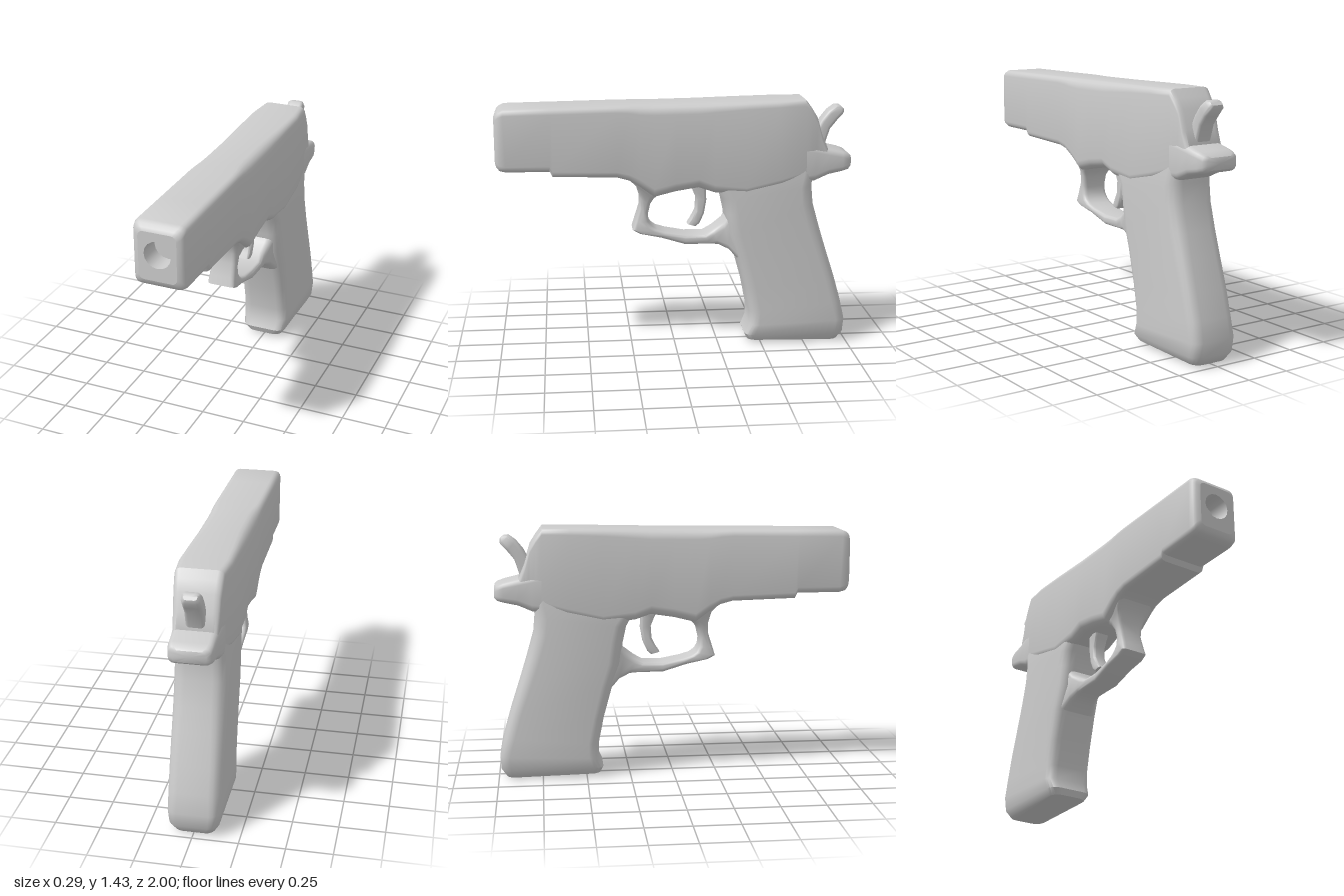
import * as THREE from 'three';
import { toCreasedNormals } from 'three/addons/utils/BufferGeometryUtils.js';

const material = new THREE.MeshStandardMaterial({ color: 0xcccccc });
const doubleSided = new THREE.MeshStandardMaterial({ color: 0xcccccc, side: THREE.DoubleSide });

// Rounded-rectangle ring between two side points (z, y), with half-width w across x
function ring([az, ay, bz, by, w, r]) {
  const h = Math.hypot(bz - az, by - ay) / 2;
  const c = Math.min(r, h * 0.95, w * 0.95);
  const points = [];
  const corners = [[1, 1], [-1, 1], [-1, -1], [1, -1]];
  corners.forEach(([sx, sv], i) => {
    for (let k = 0; k <= 4; k++) {
      const t = (i + k / 4) * Math.PI / 2;
      const x = sx * (w - c) + c * Math.cos(t);
      const v = (sv * (h - c) + c * Math.sin(t)) / h;
      points.push(new THREE.Vector3(x, (ay + by) / 2 + v * (by - ay) / 2, (az + bz) / 2 + v * (bz - az) / 2));
    }
  });
  return points;
}

// Skin through rings, turned outward by its signed volume
function loft(name, stations, capStart = true) {
  const rings = stations.map(ring);
  const n = rings[0].length;
  const tris = [];
  for (let i = 0; i < rings.length - 1; i++) {
    for (let j = 0; j < n; j++) {
      const k = (j + 1) % n;
      const [a, b, c, d] = [rings[i][j], rings[i][k], rings[i + 1][k], rings[i + 1][j]];
      tris.push([a, b, c], [a, c, d]);
    }
  }
  const cap = (pts, flip) => {
    const mid = pts.reduce((s, p) => s.add(p), new THREE.Vector3()).divideScalar(n);
    pts.forEach((p, j) => {
      const q = pts[(j + 1) % n];
      tris.push(flip ? [mid, q, p] : [mid, p, q]);
    });
  };
  if (capStart) cap(rings[0], true);
  cap(rings[rings.length - 1], false);
  const origin = rings[0][0];
  const volume = tris.reduce((s, [a, b, c]) => s + a.clone().sub(origin).dot(
    b.clone().sub(origin).cross(c.clone().sub(origin))), 0);
  const points = tris.flatMap(([a, b, c]) => (volume < 0 ? [a, c, b] : [a, b, c]));
  const geometry = new THREE.BufferGeometry().setFromPoints(points);
  const mesh = new THREE.Mesh(toCreasedNormals(geometry, 0.8), material);
  mesh.name = name;
  return mesh;
}

export function createModel() {
  const group = new THREE.Group();
  group.name = 'pistol';

  // Slide and frame, muzzle to rear: bottom z, y, top z, y, half-width, corner radius
  const slide = [
    [1, 1.095, 1, 1.36, 0.105, 0.03],
    [0.992, 1.075, 0.992, 1.378, 0.125, 0.035],
    [0.975, 1.058, 0.975, 1.393, 0.138, 0.035],
    [0.94, 1.05, 0.95, 1.403, 0.143, 0.035],
    [0.7, 1.05, 0.7, 1.407, 0.143, 0.035],
    [0.685, 1.02, 0.685, 1.407, 0.143, 0.035],
    [0.33, 1.01, 0.33, 1.413, 0.143, 0.035],
    [0.26, 0.99, 0.26, 1.414, 0.143, 0.04],
    [0.2, 0.95, 0.2, 1.415, 0.143, 0.05],
    [0.12, 0.89, 0.12, 1.416, 0.143, 0.055],
    [0, 0.92, 0, 1.418, 0.143, 0.055],
    [-0.13, 0.94, -0.13, 1.42, 0.143, 0.055],
    [-0.22, 0.91, -0.22, 1.422, 0.143, 0.05],
    [-0.4, 0.9, -0.4, 1.425, 0.143, 0.04],
    [-0.6, 0.95, -0.58, 1.428, 0.143, 0.035],
    [-0.74, 0.99, -0.73, 1.43, 0.13, 0.035],
    [-0.77, 1.01, -0.765, 1.385, 0.126, 0.035],
    [-0.79, 1.03, -0.8, 1.33, 0.122, 0.035],
    [-0.81, 1.05, -0.83, 1.23, 0.12, 0.035],
    [-0.83, 1.06, -0.865, 1.15, 0.117, 0.03],
  ];
  group.add(loft('slideAndFrame', slide, false));

  // Muzzle face with a recessed bore
  const boreY = 1.24, boreR = 0.074, boreDepth = 0.12;
  const face = new THREE.Shape(ring(slide[0]).map((p) => new THREE.Vector2(p.x, p.y)));
  face.holes.push(new THREE.Path().absarc(0, boreY, boreR, 0, Math.PI * 2, true));
  const muzzle = new THREE.Mesh(new THREE.ShapeGeometry(face, 8), material);
  muzzle.name = 'muzzleFace';
  muzzle.position.z = 1;
  const bore = new THREE.Mesh(new THREE.CylinderGeometry(boreR, boreR, boreDepth, 16, 1, true), doubleSided);
  bore.name = 'bore';
  bore.rotation.x = Math.PI / 2;
  bore.position.set(0, boreY, 1 - boreDepth / 2);
  const boreEnd = new THREE.Mesh(new THREE.CircleGeometry(boreR, 16), material);
  boreEnd.name = 'boreEnd';
  boreEnd.position.set(0, boreY, 1 - boreDepth);
  group.add(muzzle, bore, boreEnd);

  // Grip, bottom to top: front strap to back strap
  group.add(loft('grip', [
    [-0.44, 0.02, -0.935, 0.004, 0.085, 0.04],
    [-0.42, 0.023, -0.955, 0.012, 0.11, 0.05],
    [-0.405, 0.06, -0.985, 0.06, 0.135, 0.055],
    [-0.432, 0.12, -0.99, 0.14, 0.142, 0.055],
    [-0.43, 0.2, -0.965, 0.25, 0.142, 0.06],
    [-0.4, 0.35, -0.925, 0.39, 0.142, 0.06],
    [-0.35, 0.53, -0.87, 0.56, 0.142, 0.065],
    [-0.305, 0.66, -0.83, 0.69, 0.142, 0.07],
    [-0.288, 0.78, -0.79, 0.83, 0.142, 0.07],
    [-0.268, 0.87, -0.78, 0.94, 0.14, 0.07],
    [-0.23, 0.94, -0.785, 1.0, 0.135, 0.06],
    [-0.2, 1.06, -0.79, 1.08, 0.125, 0.05],
  ]));

  // Tang over the web of the hand
  group.add(loft('tang', [
    [-0.6, 1.0, -0.6, 1.17, 0.13, 0.04],
    [-0.74, 0.96, -0.74, 1.18, 0.13, 0.04],
    [-0.79, 0.965, -0.8, 1.17, 0.125, 0.04],
    [-0.87, 1.0, -0.87, 1.15, 0.12, 0.035],
    [-0.95, 1.018, -0.95, 1.13, 0.118, 0.03],
    [-0.985, 1.027, -0.985, 1.118, 0.11, 0.03],
    [-1, 1.04, -1, 1.105, 0.088, 0.025],
  ]));

  // Trigger guard, outer edge to inner edge, from the frame round to the grip
  group.add(loft('triggerGuard', [
    [0.3, 1.04, 0.04, 0.96, 0.125, 0.03],
    [0.26, 0.99, 0.08, 0.91, 0.115, 0.03],
    [0.22, 0.95, 0.12, 0.875, 0.095, 0.03],
    [0.2, 0.88, 0.14, 0.84, 0.08, 0.025],
    [0.2, 0.82, 0.153, 0.78, 0.075, 0.025],
    [0.225, 0.74, 0.148, 0.74, 0.078, 0.025],
    [0.24, 0.69, 0.13, 0.71, 0.082, 0.025],
    [0.2, 0.668, 0.1, 0.69, 0.082, 0.025],
    [0.08, 0.643, 0.05, 0.675, 0.08, 0.02],
    [-0.06, 0.6, -0.06, 0.655, 0.078, 0.02],
    [-0.2, 0.6, -0.17, 0.655, 0.078, 0.02],
    [-0.25, 0.594, -0.22, 0.685, 0.08, 0.03],
    [-0.31, 0.565, -0.28, 0.73, 0.092, 0.035],
    [-0.37, 0.5, -0.32, 0.8, 0.115, 0.04],
  ]));

  // Curved trigger
  group.add(loft('trigger', [
    [-0.08, 0.96, -0.19, 0.96, 0.045, 0.015],
    [-0.105, 0.91, -0.18, 0.91, 0.042, 0.015],
    [-0.125, 0.86, -0.184, 0.85, 0.04, 0.015],
    [-0.12, 0.79, -0.17, 0.77, 0.04, 0.015],
    [-0.095, 0.74, -0.145, 0.715, 0.04, 0.015],
    [-0.075, 0.71, -0.125, 0.697, 0.036, 0.015],
  ]));

  // Hammer with its spur
  group.add(loft('hammer', [
    [-0.79, 1.22, -0.85, 1.14, 0.05, 0.02],
    [-0.835, 1.305, -0.885, 1.25, 0.05, 0.02],
    [-0.875, 1.355, -0.925, 1.3, 0.05, 0.02],
    [-0.915, 1.385, -0.962, 1.34, 0.048, 0.02],
    [-0.94, 1.385, -0.965, 1.362, 0.035, 0.015],
  ]));

  return group;
}
